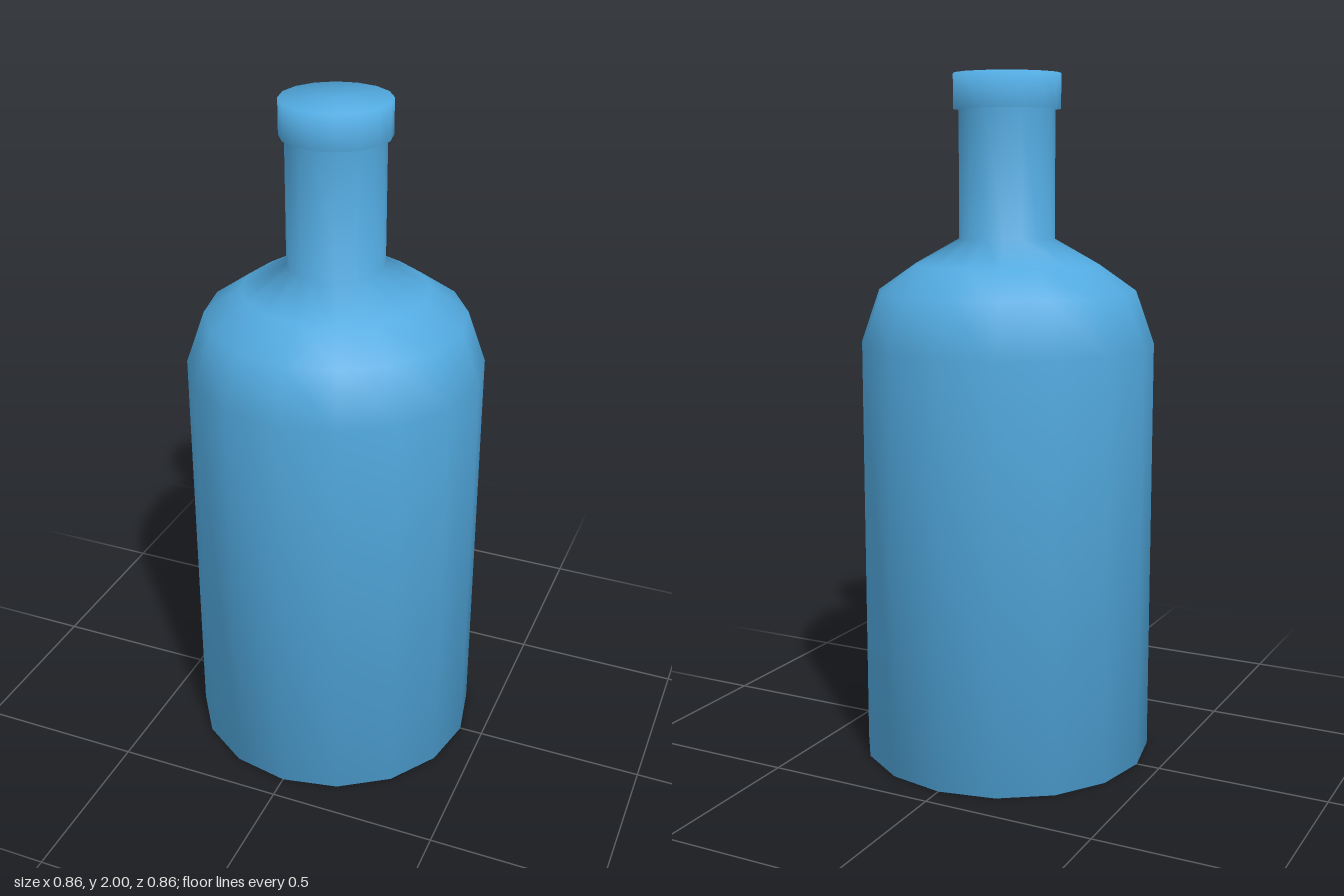
import * as THREE from 'three';

export function createModel() {
  const group = new THREE.Group();
  group.name = 'bottle';

  const blueGlass = new THREE.MeshStandardMaterial({ color: 0x52aae0 });
  blueGlass.name = 'blueGlass';

  // Closed silhouette from the base centre up to the top centre
  const profile = [
    [0, 0], [0.43, 0], [0.43, 1.23],                // base and straight body
    [0.376, 1.384], [0.268, 1.46], [0.139, 1.533],  // rounded shoulder
    [0.139, 1.9], [0.155, 1.9], [0.155, 2], [0, 2], // neck, lip and top
  ].map(([r, y]) => new THREE.Vector2(r, y));

  // Sixteen sides with one continuous smooth surface
  const bottle = new THREE.Mesh(new THREE.LatheGeometry(profile, 16), blueGlass);
  bottle.name = 'bottleBodyNeckAndLip';
  group.add(bottle);

  return group;
}
